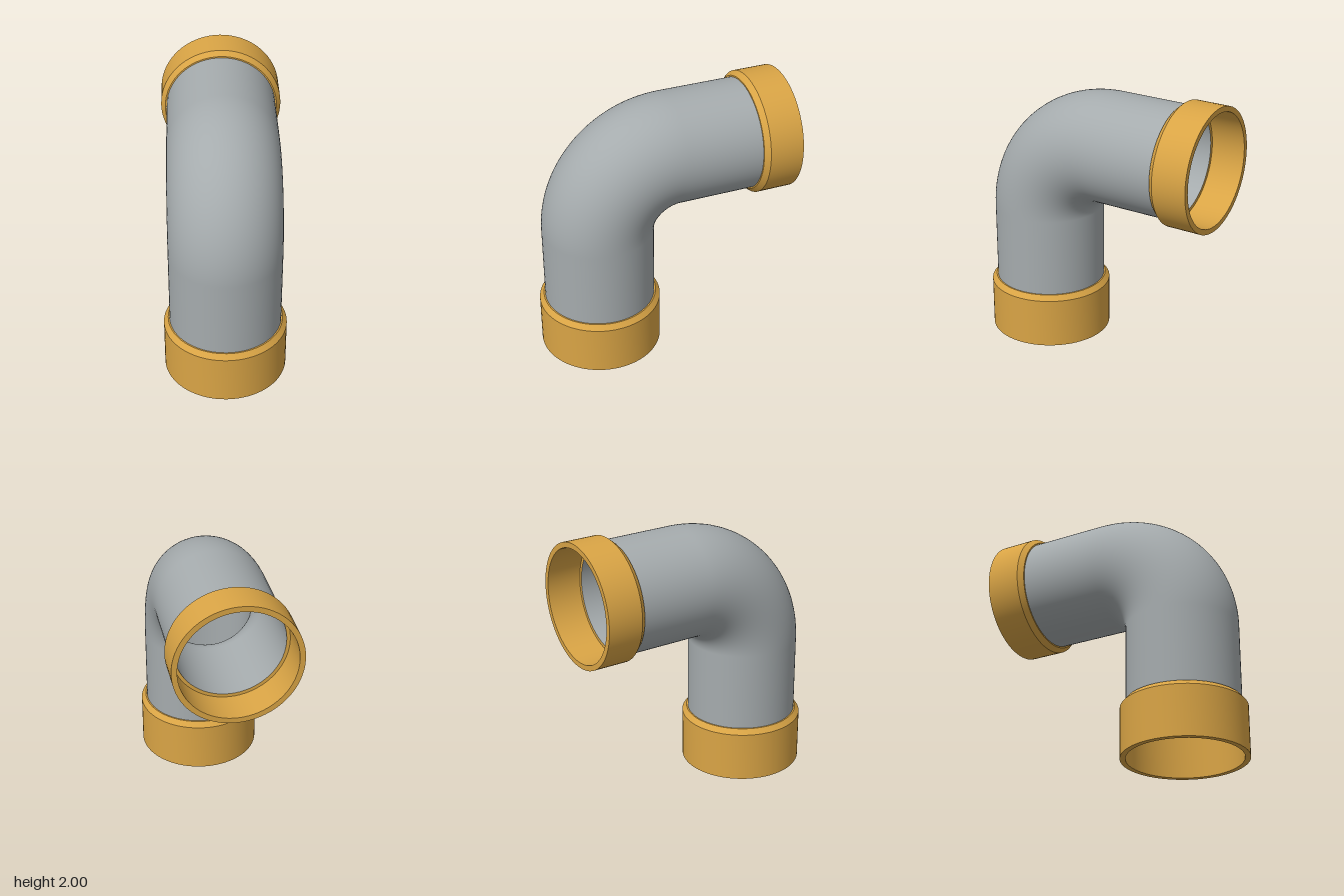
import * as THREE from 'three';
import { toCreasedNormals } from 'three/addons/utils/BufferGeometryUtils.js';

const BEND_RADIUS = 0.55, BEND_Y = 1.0, BEND_Z = -0.068;
const BEND_ANGLE = Math.PI / 2 + 0.0065; // a touch over a right angle
const PIPE_OUTER = 0.4125, PIPE_INNER = 0.39;
const COLLAR_OUTER = 0.455, COLLAR_BORE = 0.415, CHAMFER = 0.038;
const LOWER_LENGTH = 0.413, UPPER_LENGTH = 0.295;
const UPPER_REACH = 0.86; // from the end of the bend to the upper mouth

// Centre line: straight up, round the bend, straight back
class ElbowCurve extends THREE.Curve {
  getPoint(t, target = new THREE.Vector3()) {
    const rise = BEND_Y - LOWER_LENGTH + CHAMFER;
    const arc = BEND_RADIUS * BEND_ANGLE;
    const run = UPPER_REACH - UPPER_LENGTH + CHAMFER;
    const s = t * (rise + arc + run);
    const a = THREE.MathUtils.clamp((s - rise) / BEND_RADIUS, 0, BEND_ANGLE);
    const extra = Math.min(s - rise, 0) + Math.max(s - rise - arc, 0);
    return target.set(
      0,
      BEND_Y + BEND_RADIUS * Math.sin(a) + extra * Math.cos(a),
      BEND_Z + BEND_RADIUS * Math.cos(a) - extra * Math.sin(a)
    );
  }
}

// Socket collar: mouth at y = 0, chamfered shoulder at y = length
function makeCollar(name, length, material) {
  const seat = length - CHAMFER;
  const profile = [
    [PIPE_INNER, seat], [COLLAR_BORE, seat], [COLLAR_BORE, 0], [COLLAR_OUTER, 0],
    [COLLAR_OUTER, seat], [0.423, length], [PIPE_OUTER - 0.005, length],
  ].map(([r, y]) => new THREE.Vector2(r, y));
  const geometry = toCreasedNormals(new THREE.LatheGeometry(profile, 72), 0.5);
  const mesh = new THREE.Mesh(geometry, material);
  mesh.name = name;
  return mesh;
}

export function createModel() {
  const grey = new THREE.MeshStandardMaterial({ color: 0xa5abad, side: THREE.DoubleSide });
  grey.name = 'pipeGrey';
  const ochre = new THREE.MeshStandardMaterial({ color: 0xd9a445 });
  ochre.name = 'collarOchre';

  const group = new THREE.Group();
  group.name = 'pipeElbow';

  // Pipe wall, outside and inside
  const path = new ElbowCurve();
  for (const [name, radius] of [['pipeOuter', PIPE_OUTER], ['pipeInner', PIPE_INNER]]) {
    const pipe = new THREE.Mesh(new THREE.TubeGeometry(path, 100, radius, 72), grey);
    pipe.name = name;
    group.add(pipe);
  }

  // Collar at the foot
  const lower = makeCollar('lowerCollar', LOWER_LENGTH, ochre);
  lower.position.z = BEND_Z + BEND_RADIUS;
  group.add(lower);

  // Collar at the rear opening
  const upper = makeCollar('upperCollar', UPPER_LENGTH, ochre);
  const c = Math.cos(BEND_ANGLE), s = Math.sin(BEND_ANGLE);
  upper.position.set(
    0,
    BEND_Y + BEND_RADIUS * s + UPPER_REACH * c,
    BEND_Z + BEND_RADIUS * c - UPPER_REACH * s
  );
  upper.rotation.x = Math.PI - BEND_ANGLE;
  group.add(upper);

  return group;
}
